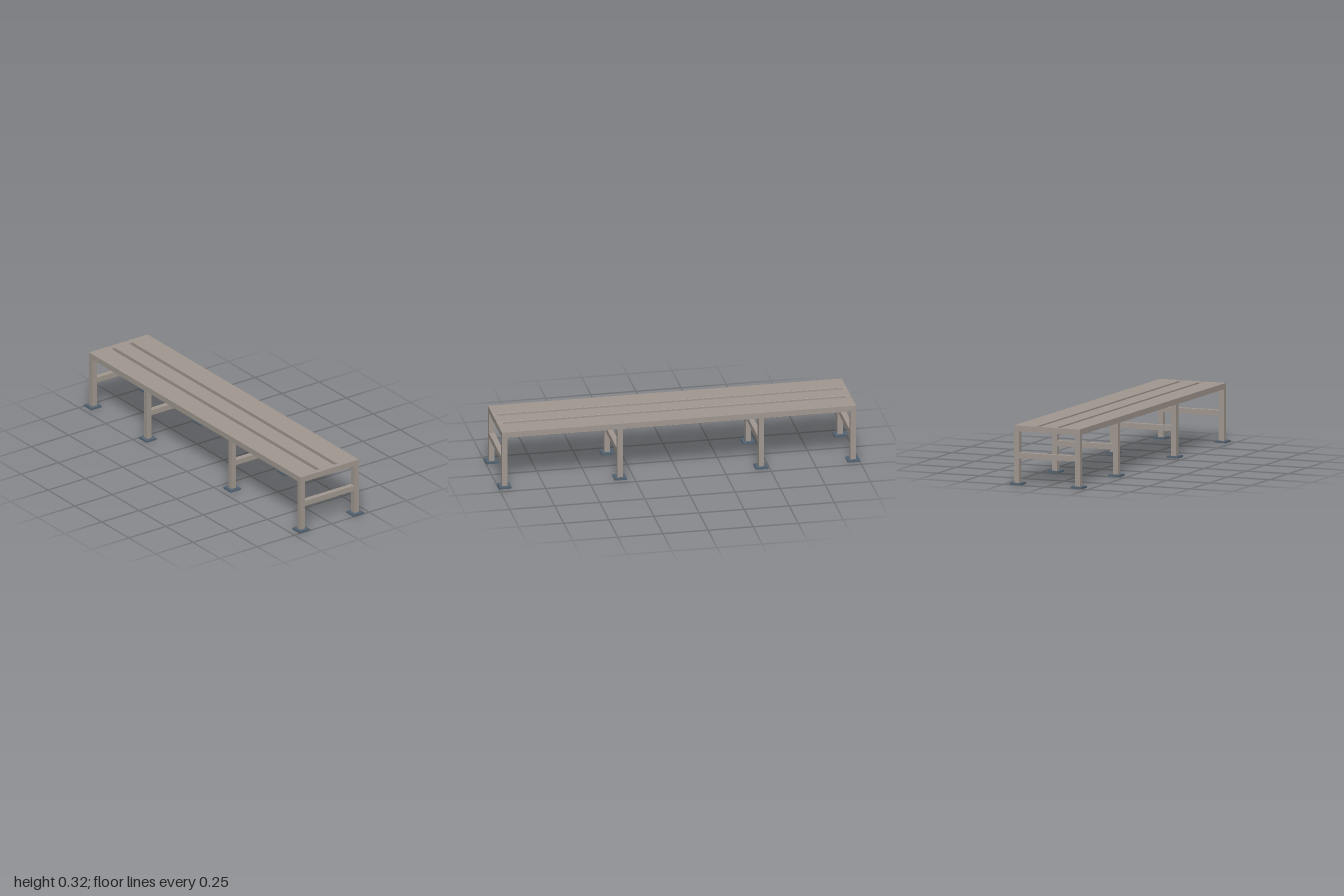
import * as THREE from 'three';

export function createModel() {
  const bench = new THREE.Group();
  bench.name = 'bench';
  const steel = new THREE.MeshStandardMaterial({ color: 0xa0978f });
  steel.name = 'warm grey steel';
  const slate = new THREE.MeshStandardMaterial({ color: 0x536270 });
  slate.name = 'slate blue';

  const add = (name, geometry, material, x, y, z) => {
    const mesh = new THREE.Mesh(geometry, material);
    mesh.name = name;
    mesh.position.set(x, y, z);
    bench.add(mesh);
  };
  const box = (name, w, h, d, x, y, z, material = steel) =>
    add(name, new THREE.BoxGeometry(w, h, d), material, x, y, z);

  const T = 0.03; // square tube size
  const legZ = 0.181, endX = 0.966;
  const plateBottom = 0.3225, top = 0.3245;
  const railY = plateBottom - T / 2, railBottom = plateBottom - T;

  // Leg frames: two legs with foot plates, joined by a crossbar
  for (const x of [-endX, -0.457, 0.326, endX]) {
    for (const s of [-1, 1]) {
      box('leg', T, railBottom - 0.01, T, x, (railBottom + 0.01) / 2, s * legZ);
      box('footPlate', 0.068, 0.01, 0.068, x, 0.005, s * legZ, slate);
    }
    box('crossbar', T, T, 2 * legZ - T, x, 0.1605, 0);
  }

  // Perimeter frame under the seat
  for (const s of [-1, 1]) {
    box('longRail', 2 * endX + T, T, T, 0, railY, s * legZ);
    box('endRail', T, T, 2 * legZ - T, s * endX, railY, 0);
  }

  // Sheet slat with softened top edges; its cross-section runs along x
  const slat = (z0, z1, round0, round1) => {
    const r = 0.002;
    const a = round0 ? r : 0, b = round1 ? r : 0;
    const shape = new THREE.Shape();
    shape.moveTo(-z0, plateBottom);
    shape.lineTo(-z1, plateBottom);
    shape.lineTo(-z1, top - b);
    if (b) shape.quadraticCurveTo(-z1, top, -z1 + b, top);
    shape.lineTo(-z0 - a, top);
    if (a) shape.quadraticCurveTo(-z0, top, -z0, top - a);
    shape.closePath();
    const length = 2 * endX + T;
    const geometry = new THREE.ExtrudeGeometry(shape, { depth: length, bevelEnabled: false, curveSegments: 4 });
    geometry.translate(0, 0, -length / 2).rotateY(Math.PI / 2);
    add('slat', geometry, steel, 0, 0, 0);
  };
  const slotIn = 0.047, slotOut = 0.071, edge = legZ + T / 2;
  slat(-edge, -slotOut, false, true);
  slat(-slotIn, slotIn, true, true);
  slat(slotOut, edge, true, false);

  // Deep folded lips along the slots, between the end rails
  const lip = 0.002, lipDepth = 0.026;
  for (const s of [-1, 1]) {
    for (const z of [slotIn - lip / 2, slotOut + lip / 2]) {
      box('slatLip', 2 * endX - T, lipDepth, lip, 0, plateBottom - lipDepth / 2, s * z);
    }
  }

  // Small flush rivets fixing the slats to the frame
  const rivet = new THREE.CylinderGeometry(0.003, 0.003, 0.001, 8);
  for (const s of [-1, 1]) {
    for (let i = 0; i < 7; i++) {
      add('rivet', rivet, steel, -0.93 + i * 0.31, top - 0.0003, s * legZ);
    }
  }
  return bench;
}
